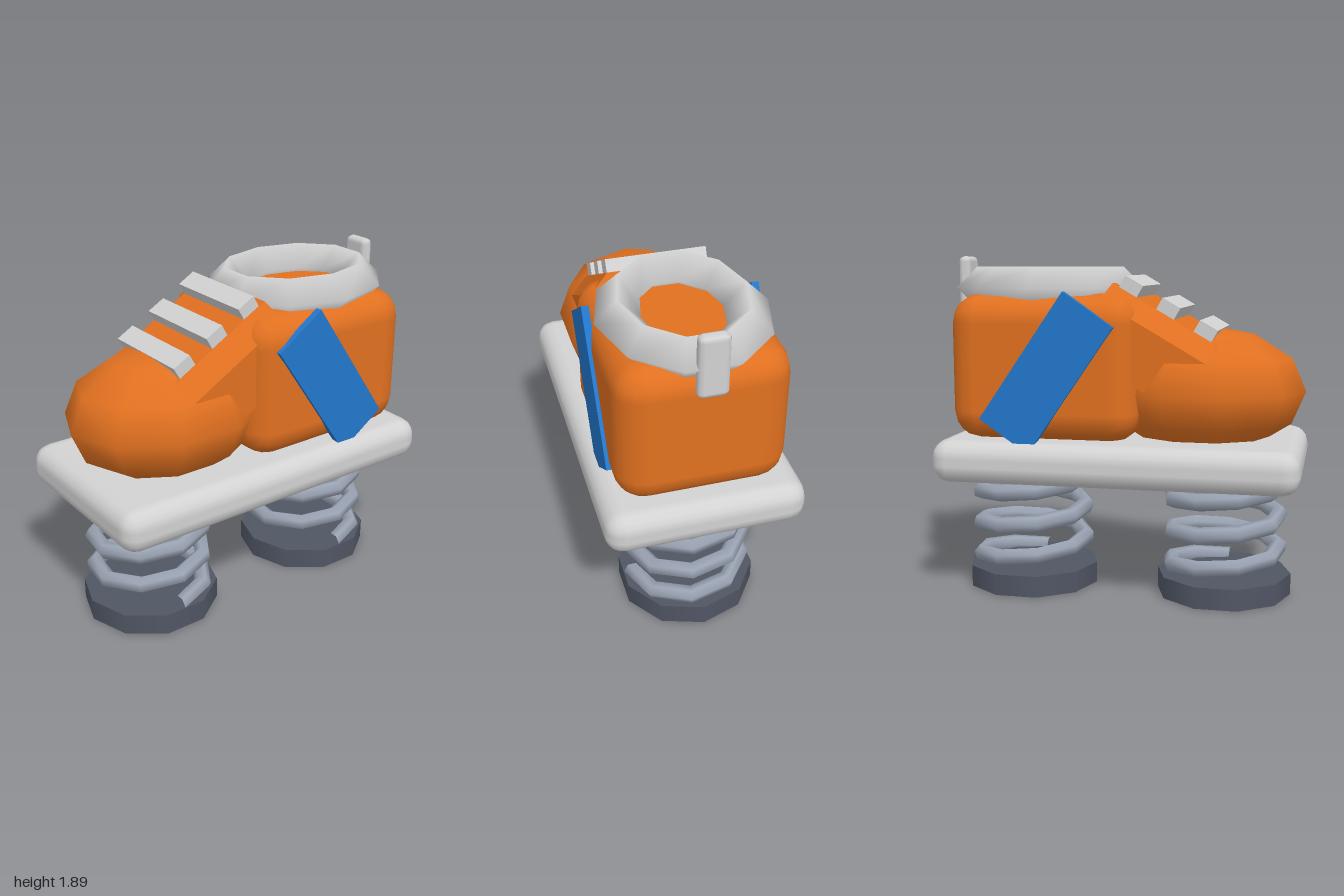
import * as THREE from 'three';
import { RoundedBoxGeometry } from 'three/addons/geometries/RoundedBoxGeometry.js';

const mat = (name, color) => {
  const m = new THREE.MeshStandardMaterial({ color });
  m.name = name;
  return m;
};

// Helix rising from +x, three turns
class Helix extends THREE.Curve {
  getPoint(t, target = new THREE.Vector3()) {
    const a = t * Math.PI * 6;
    return target.set(0.31 * Math.cos(a), 0.12 + 0.555 * t, -0.31 * Math.sin(a));
  }
}

export function createModel() {
  const model = new THREE.Group();
  model.name = 'springShoeRider';
  const orange = mat('orange', 0xe07020);
  const blue = mat('blue', 0x2277cc);
  const lightGrey = mat('lightGrey', 0xd2d2d2);
  const steel = mat('steel', 0x9aa3b3);
  const darkSteel = mat('darkSteel', 0x505664);

  const add = (name, geometry, material, x = 0, y = 0, z = 0, parent = model) => {
    const mesh = new THREE.Mesh(geometry, material);
    mesh.name = name;
    mesh.position.set(x, y, z);
    parent.add(mesh);
    return mesh;
  };

  // Feet and springs
  const foot = new THREE.CylinderGeometry(0.38, 0.38, 0.12, 10);
  const spring = new THREE.TubeGeometry(new Helix(), 27, 0.048, 6, false);
  for (const [end, z] of [['front', 0.56], ['rear', -0.565]]) {
    add(end + 'Foot', foot, darkSteel, 0, 0.06, z);
    add(end + 'Spring', spring, steel, 0, 0, z);
  }

  // Board
  add('board', new RoundedBoxGeometry(1.07, 0.24, 2, 2, 0.1), lightGrey, 0, 0.78, 0);

  // Heel: rounded box with slightly bulging sides
  const heel = new RoundedBoxGeometry(0.9, 0.8, 1.05, 2, 0.16);
  add('heel', heel, orange, 0, 1.29, -0.39);

  // Toe cap
  const toe = new THREE.SphereGeometry(1, 10, 6);
  toe.rotateY(Math.PI / 2);
  toe.scale(0.46, 0.36, 0.57);
  add('toeCap', toe, orange, 0, 1.155, 0.43);

  // Sloping instep with chamfered edges, carrying the laces
  const instep = new THREE.Group();
  instep.name = 'instep';
  instep.position.set(0, 1.42, 0.54);
  instep.rotation.x = Math.PI / 6;
  model.add(instep);
  const section = new THREE.Shape([
    [-0.38, -0.4], [0.38, -0.4], [0.38, -0.1], [0.28, 0], [-0.28, 0], [-0.38, -0.1],
  ].map(([x, y]) => new THREE.Vector2(x, y)));
  add('tongue', new THREE.ExtrudeGeometry(section, { depth: 0.65, bevelEnabled: false }),
    orange, 0, 0, -0.65, instep);
  const lace = new THREE.BoxGeometry(0.55, 0.1, 0.11);
  for (let i = 0; i < 3; i++) add('lace' + (i + 1), lace, lightGrey, 0, 0.02, -0.091 - 0.232 * i, instep);

  // Collar: ring stretched lengthwise while its thickness stays even
  const collar = new THREE.TorusGeometry(0.33, 0.118, 4, 10);
  collar.rotateX(-Math.PI / 2);
  const p = collar.attributes.position;
  for (let i = 0; i < p.count; i++) {
    const x = p.getX(i), z = p.getZ(i);
    p.setZ(i, z + 0.09 * z / Math.hypot(x, z));
  }
  add('collar', collar, lightGrey, 0, 1.715, -0.445);

  // Pull tab
  add('pullTab', new RoundedBoxGeometry(0.16, 0.34, 0.072, 1, 0.03), lightGrey, 0, 1.72, -0.935);

  // Slanted side stripes, trimmed where they meet the board
  const stripe = new THREE.BoxGeometry(0.04, 0.83, 0.327);
  for (const [side, s] of [['left', 1], ['right', -1]]) {
    add(side + 'Stripe', stripe, blue, s * 0.45, 1.27, -0.35).rotation.x = 0.602;
  }
  return model;
}
